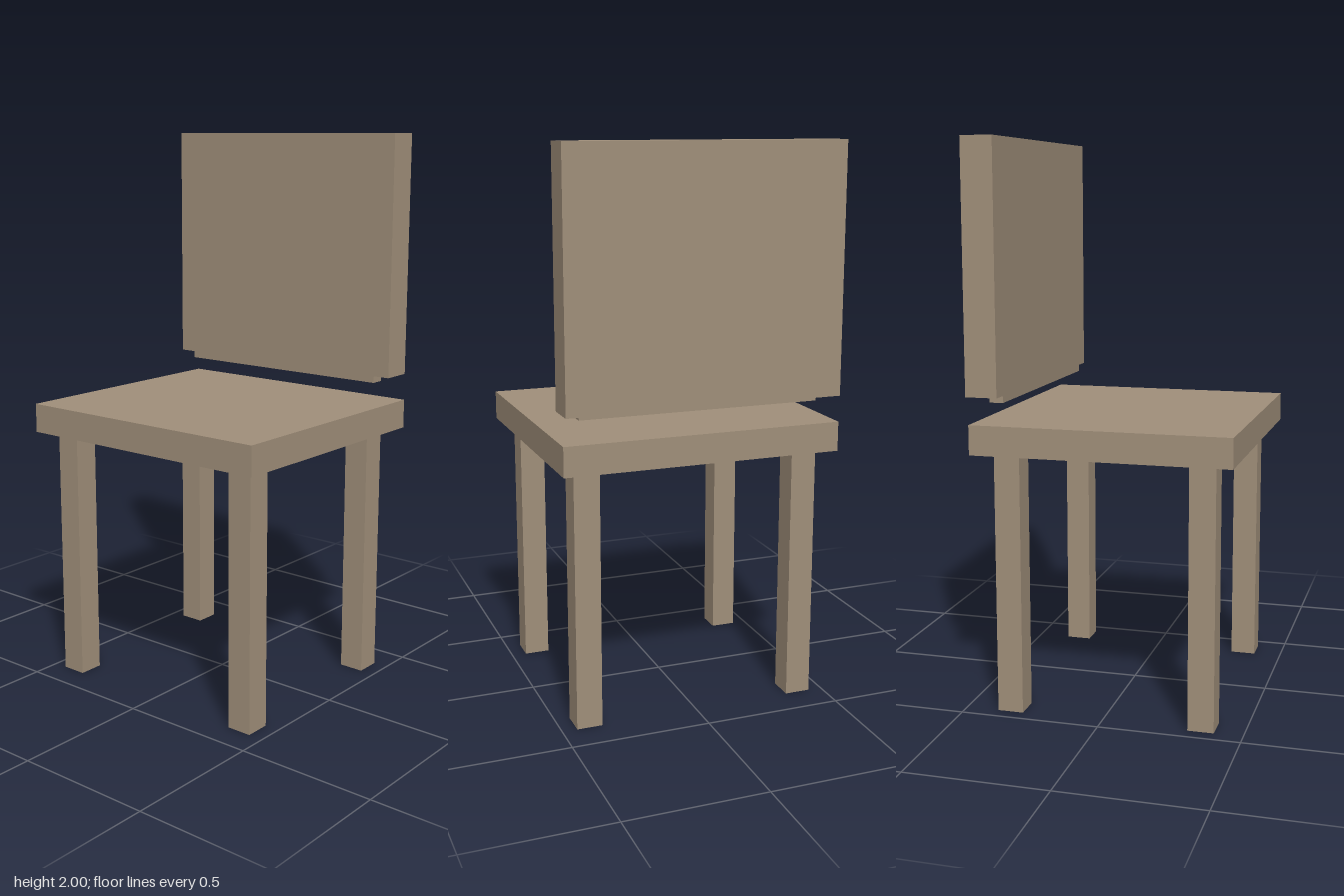
import * as THREE from 'three';

export function createModel() {
  const model = new THREE.Group();
  model.name = 'chair';
  const wood = new THREE.MeshStandardMaterial({ color: 0xa08f7a });
  wood.name = 'wood';

  // Box given by its extents along each axis
  function block(name, [x0, x1], [y0, y1], [z0, z1]) {
    const mesh = new THREE.Mesh(new THREE.BoxGeometry(x1 - x0, y1 - y0, z1 - z0), wood);
    mesh.position.set((x0 + x1) / 2, (y0 + y1) / 2, (z0 + z1) / 2);
    mesh.name = name;
    model.add(mesh);
  }

  // Seat slab
  block('seat', [-0.5, 0.5], [0.93, 1.035], [-0.453, 0.463]);

  // Backrest panel with a narrow strip below its front edge
  block('backrest', [-0.497, 0.493], [1.13, 2], [-0.463, -0.35]);
  block('backrestStrip', [-0.435, 0.43], [1.105, 1.13], [-0.4, -0.351]);

  // Four square legs
  const sides = { right: [-0.45, -0.358], left: [0.354, 0.446] };
  const ends = { front: [0.306, 0.398], back: [-0.382, -0.29] };
  for (const [end, z] of Object.entries(ends)) {
    for (const [side, x] of Object.entries(sides)) {
      block(`${end} ${side} leg`, x, [0, 0.93], z);
    }
  }
  return model;
}
